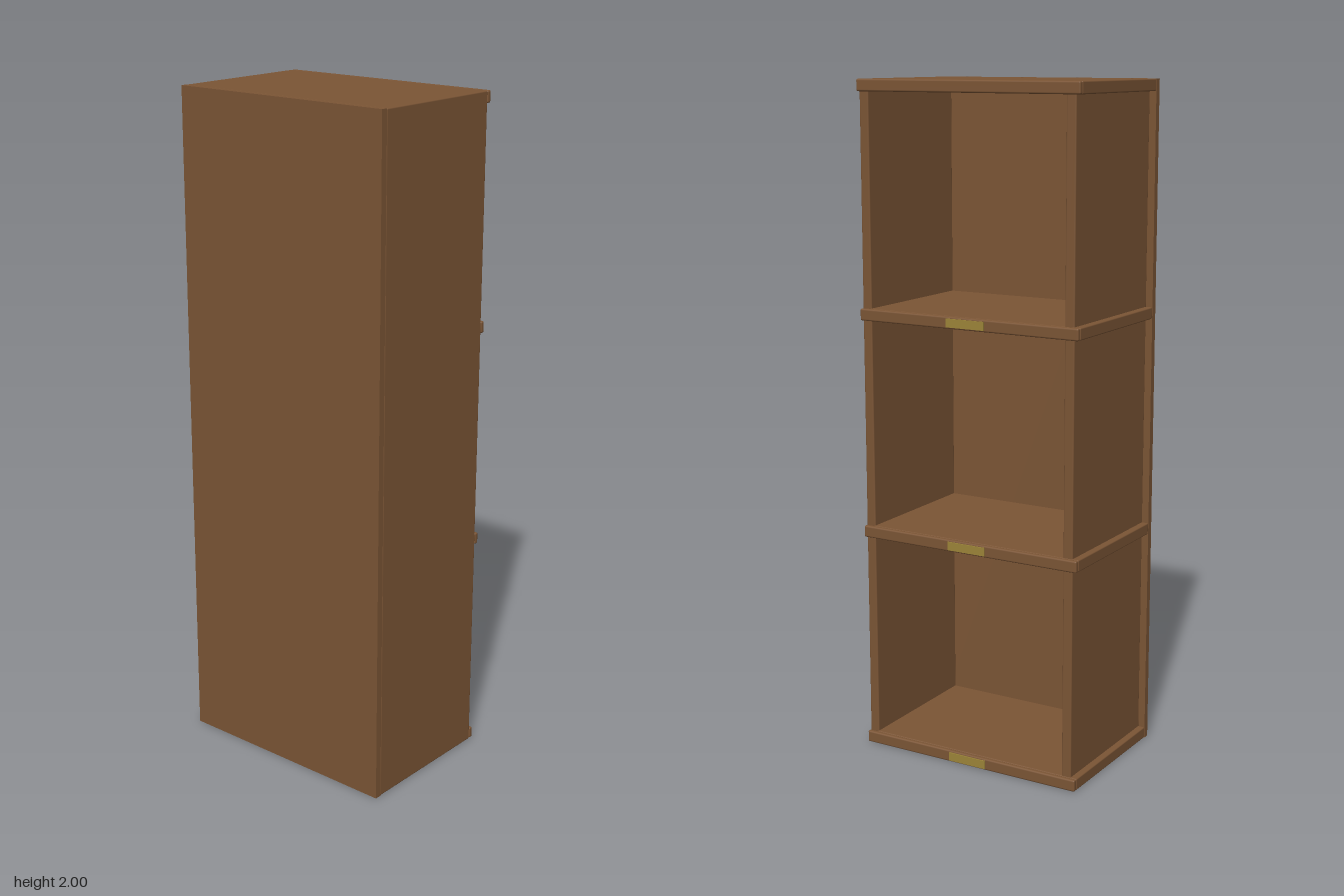
import * as THREE from 'three';
import { RoundedBoxGeometry } from 'three/addons/geometries/RoundedBoxGeometry.js';

export function createModel() {
  const model = new THREE.Group();
  model.name = 'bookcase';
  const wood = new THREE.MeshStandardMaterial({ color: 0x7b5535 });
  wood.name = 'brown wood';
  const brass = new THREE.MeshStandardMaterial({ color: 0x9c8438 });
  brass.name = 'brass';

  // A board given by its limits on each axis; radius 0 leaves square edges
  function board(name, [x0, x1], [y0, y1], [z0, z1], radius = 0.004, material = wood) {
    const size = [x1 - x0, y1 - y0, z1 - z0];
    const geometry = radius
      ? new RoundedBoxGeometry(...size, 2, radius)
      : new THREE.BoxGeometry(...size);
    const mesh = new THREE.Mesh(geometry, material);
    mesh.name = name;
    mesh.position.set((x0 + x1) / 2, (y0 + y1) / 2, (z0 + z1) / 2);
    model.add(mesh);
  }

  const thick = 0.035;
  const pitch = (2 - thick) / 3;

  // Closed panel and full-height outer side
  board('closedPanel', [-0.36, 0.36], [0, 2], [0.22, 0.24], 0);
  board('outerSide', [0.33, 0.36], [0, 2], [-0.222, 0.22]);

  for (let i = 0; i < 4; i++) {
    const y = i * pitch;
    // Shelf with a rounded lip along the open side
    board('shelf' + i, [-0.36, 0.335], [y, y + thick], [-0.224, 0.22]);
    board('shelfLip' + i, [-0.36, 0.36], [y, y + thick], [-0.238, -0.223], 0.005);
    if (i === 3) continue;
    // Inset side between shelves, and a label plate on the lip
    board('insetSide' + i, [-0.34, -0.31], [y + thick - 0.004, y + pitch + 0.004], [-0.222, 0.22]);
    board('labelPlate' + i, [-0.062, 0.062], [y + 0.005, y + thick - 0.005], [-0.242, -0.237], 0, brass);
  }
  return model;
}
